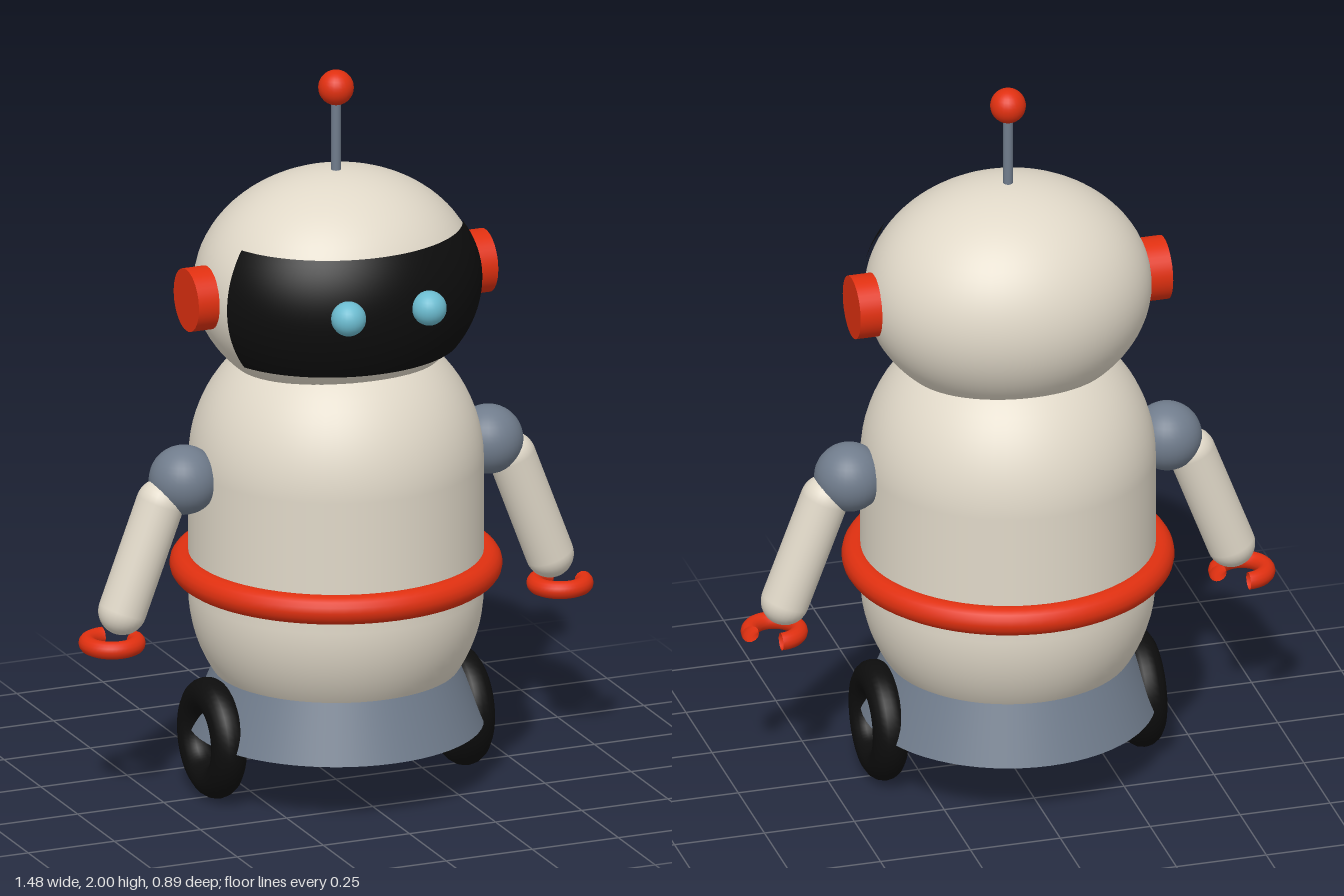
import * as THREE from 'three';

const mat = (name, color, side = THREE.FrontSide) => {
  const m = new THREE.MeshStandardMaterial({ color, side });
  m.name = name;
  return m;
};

export function createModel() {
  const cream = mat('cream shell', 0xe0d8c8);
  const red = mat('red trim', 0xe03010, THREE.DoubleSide);
  const grey = mat('grey metal', 0x707c8c);
  const black = mat('black', 0x0d0d0d);
  const blue = mat('eye blue', 0x6cbcd0);

  const model = new THREE.Group();
  model.name = 'robot';
  const add = (name, geometry, material, x = 0, y = 0, z = 0) => {
    const mesh = new THREE.Mesh(geometry, material);
    mesh.name = name;
    mesh.position.set(x, y, z);
    model.add(mesh);
    return mesh;
  };

  // Body, belt and flared base
  add('body', new THREE.CapsuleGeometry(0.395, 0.365, 20, 64), cream, 0, 0.728);
  add('belt', new THREE.TorusGeometry(0.405, 0.04, 16, 72), red, 0, 0.617).rotation.x = Math.PI / 2;
  add('base', new THREE.CylinderGeometry(0.33, 0.395, 0.16, 64), grey, 0, 0.25);

  // Head with a wrapped visor
  add('head', new THREE.SphereGeometry(1, 64, 40), cream, 0, 1.41).scale.set(0.387, 0.312, 0.346);
  const visor = new THREE.SphereGeometry(1, 48, 20, Math.PI / 2 - 1.21, 2.42, 1.05, 1.09);
  add('visor', visor, black, 0, 1.41).scale.set(0.396, 0.32, 0.36);

  // Antenna
  add('antennaRod', new THREE.CylinderGeometry(0.013, 0.013, 0.24, 16), grey, 0, 1.81);
  add('antennaBall', new THREE.SphereGeometry(0.048, 24, 16), red, 0, 1.952);

  // Paired parts
  for (const s of [1, -1]) {
    const side = s > 0 ? 'left' : 'right';
    add(side + 'Eye', new THREE.SphereGeometry(0.047, 24, 16), blue, s * 0.117, 1.426, 0.36);
    add(side + 'Ear', new THREE.CylinderGeometry(0.086, 0.086, 0.085, 40), red, s * 0.392, 1.41)
      .rotation.z = Math.PI / 2;
    add(side + 'Shoulder', new THREE.SphereGeometry(0.094, 32, 20), grey, s * 0.442, 0.906);

    const top = new THREE.Vector3(s * 0.51, 0.85, 0);
    const wrist = new THREE.Vector3(s * 0.62, 0.56, 0);
    const arm = add(side + 'Arm', new THREE.CapsuleGeometry(0.065, top.distanceTo(wrist), 10, 28), cream);
    arm.position.addVectors(top, wrist).multiplyScalar(0.5);
    arm.rotation.z = s * Math.atan2(0.11, 0.29);

    // Three-quarter ring hand, open at the same corner on both sides
    add(side + 'Claw', new THREE.TorusGeometry(0.066, 0.024, 14, 36, Math.PI * 1.5), red, s * 0.65, 0.474)
      .rotation.x = Math.PI / 2;

    add(side + 'Wheel', new THREE.TorusGeometry(0.116, 0.048, 16, 48), black, s * 0.36, 0.169)
      .rotation.y = Math.PI / 2;
  }
  return model;
}
